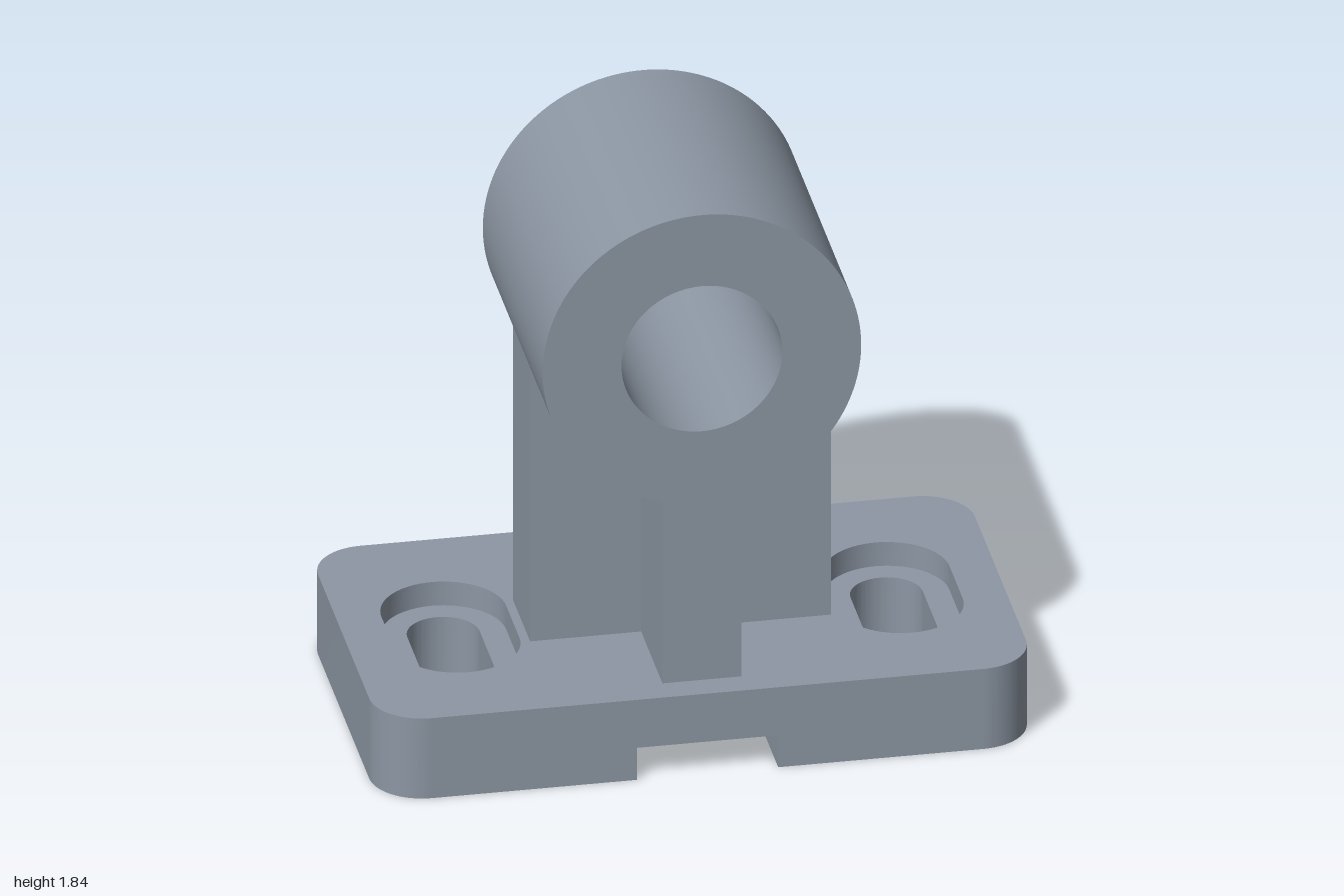
import * as THREE from 'three';
import { mergeGeometries, toCreasedNormals } from 'three/addons/utils/BufferGeometryUtils.js';

const W = 1, D = 0.565, H = 0.27, CORNER = 0.16;   // base half width, half depth, height
const GROOVE = 0.215, GROOVE_H = 0.108;            // channel under the base
const SLOT_X = 0.675, FLOOR = 0.19;                // slots and their recess floor
const AXIS = 1.355, R = 0.485, BORE = 0.245, LEN = 0.95; // bearing tube

const slot = (x, r, h, Type = THREE.Path) => {
  const p = new Type();
  p.absarc(x, h, r, 0, Math.PI);
  p.absarc(x, -h, r, Math.PI, Math.PI * 2);
  p.closePath();
  return p;
};
const inner = (x) => slot(x, 0.11, 0.11);
const outer = (x, Type) => slot(x, 0.19, 0.105, Type);

const polygon = (pts) => new THREE.Shape(pts.map(([x, y]) => new THREE.Vector2(x, y)));

// Horizontal face at height y, facing up (1) or down (-1)
const flat = (shape, y, dir) =>
  new THREE.ShapeGeometry(shape, 24).rotateX(-dir * Math.PI / 2).translate(0, y, 0);

// Vertical strip following plan points, facing right of the direction of travel
function wall(points, y0, y1) {
  const pos = [];
  for (let i = 0; i < points.length - 1; i++) {
    const a = points[i], b = points[i + 1];
    pos.push(a.x, y0, -a.y, b.x, y0, -b.y, b.x, y1, -b.y);
    pos.push(a.x, y0, -a.y, b.x, y1, -b.y, a.x, y1, -a.y);
  }
  const g = new THREE.BufferGeometry();
  g.setAttribute('position', new THREE.Float32BufferAttribute(pos, 3));
  return g;
}

function merged(list) {
  const clean = list.map((g) => {
    const n = g.index ? g.toNonIndexed() : g;
    n.deleteAttribute('uv');
    n.deleteAttribute('normal');
    return n;
  });
  return toCreasedNormals(mergeGeometries(clean), 0.5);
}

function baseGeometry() {
  // Rounded end outline, used for the end wall, the foot and the top
  const end = new THREE.Path();
  end.absarc(W - CORNER, -D + CORNER, CORNER, -Math.PI / 2, 0);
  end.absarc(W - CORNER, D - CORNER, CORNER, 0, Math.PI / 2);
  const endPts = end.getPoints(16);

  const top = new THREE.Shape([...endPts, ...endPts.map((p) => new THREE.Vector2(-p.x, -p.y))]);
  top.holes.push(outer(SLOT_X), outer(-SLOT_X));
  const foot = new THREE.Shape([new THREE.Vector2(GROOVE, -D), ...endPts, new THREE.Vector2(GROOVE, D)]);
  foot.holes.push(inner(SLOT_X));
  const recess = outer(SLOT_X, THREE.Shape);
  recess.holes.push(inner(SLOT_X));
  const e = W - CORNER;
  const front = polygon([[-e, 0], [-GROOVE, 0], [-GROOVE, GROOVE_H], [GROOVE, GROOVE_H],
    [GROOVE, 0], [e, 0], [e, H], [-e, H]]);
  const ceiling = polygon([[-GROOVE, -D], [GROOVE, -D], [GROOVE, D], [-GROOVE, D]]);

  // One half, repeated by a half turn
  const half = () => [
    new THREE.ShapeGeometry(front).translate(0, 0, D),
    wall(endPts, 0, H),
    flat(foot, 0, -1),
    flat(recess, FLOOR, 1),
    wall(inner(SLOT_X).getPoints(24).reverse(), 0, FLOOR),
    wall(outer(SLOT_X).getPoints(24).reverse(), FLOOR, H),
    wall([new THREE.Vector2(GROOVE, D), new THREE.Vector2(GROOVE, -D)], 0, GROOVE_H),
  ];
  return merged([flat(top, H, 1), flat(ceiling, GROOVE_H, -1),
    ...half(), ...half().map((g) => g.rotateY(Math.PI))]);
}

const extrude = (shape, depth) => merged([
  new THREE.ExtrudeGeometry(shape, { depth, bevelEnabled: false, curveSegments: 72 })
    .translate(0, 0, -depth / 2),
]);

// Bored tube and the narrow web below it, as one keyhole profile
function bearingGeometry() {
  const w = 0.12, a = Math.asin(w / R);
  const s = new THREE.Shape();
  s.moveTo(-w, H);
  s.lineTo(w, H);
  s.absarc(0, AXIS, R, -Math.PI / 2 + a, Math.PI * 1.5 - a);
  s.closePath();
  s.holes.push(new THREE.Path().absarc(0, AXIS, BORE, 0, Math.PI * 2, true));
  return extrude(s, LEN);
}

// Wide web, cradling the tube from below
function crossWebGeometry() {
  const w = 0.458, r = R - 0.01, a = Math.asin(w / r);
  const s = new THREE.Shape();
  s.moveTo(-w, H);
  s.lineTo(w, H);
  s.absarc(0, AXIS, r, -Math.PI / 2 + a, -Math.PI / 2 - a, true);
  s.closePath();
  return extrude(s, 0.27);
}

export function createModel() {
  const group = new THREE.Group();
  group.name = 'bearingBracket';
  const steel = new THREE.MeshStandardMaterial({ color: 0x8c96a3 });
  steel.name = 'steelGrey';
  const add = (name, geometry) => {
    const mesh = new THREE.Mesh(geometry, steel);
    mesh.name = name;
    group.add(mesh);
  };
  add('slottedBase', baseGeometry());
  add('bearingTubeAndWeb', bearingGeometry());
  add('crossWeb', crossWebGeometry());
  return group;
}
